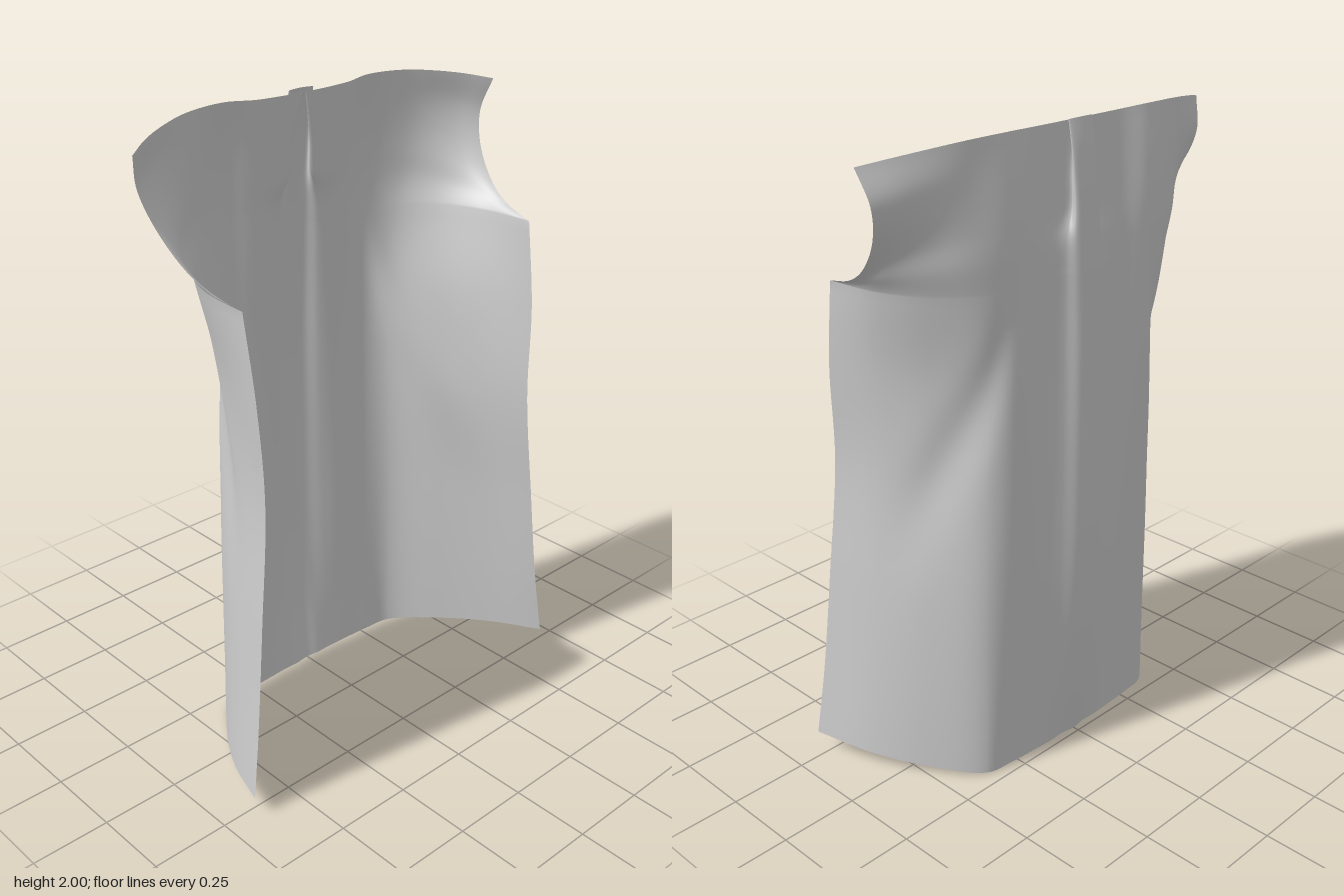
import * as THREE from 'three';

// From hem to neckline: centre height, edge height, edge x, edge z, centre z,
// pleat fold x, valley z, ridge z, back corner x, back corner z, side bulge
const ROWS = [
  [0.00, 0.065, 0.655, 0.28, -0.23, 0.1, -0.222, -0.215, 0.37, -0.2, 0.027],
  [0.25, 0.3, 0.622, 0.268, -0.258, 0.1, -0.232, -0.226, 0.37, -0.2, 0.026],
  [0.60, 0.62, 0.588, 0.256, -0.278, 0.1, -0.237, -0.236, 0.37, -0.2, 0.022],
  [1.00, 1.00, 0.552, 0.243, -0.281, 0.095, -0.238, -0.245, 0.36, -0.205, 0.018],
  [1.30, 1.30, 0.562, 0.232, -0.278, 0.09, -0.236, -0.25, 0.36, -0.21, 0.024],
  [1.57, 1.57, 0.57, 0.195, -0.268, 0.085, -0.232, -0.252, 0.4, -0.212, 0.042],
  [1.67, 1.60, 0.592, 0.08, -0.262, 0.075, -0.23, -0.252, 0.42, -0.213, 0.03],
  [1.76, 1.65, 0.61, 0, -0.255, 0.042, -0.224, -0.25, 0.42, -0.213, 0.021],
  [1.85, 1.75, 0.638, -0.08, -0.246, 0.034, -0.218, -0.244, 0.42, -0.213, 0.013],
  [1.93, 1.85, 0.665, -0.11, -0.236, 0.02, -0.212, -0.235, 0.42, -0.212, 0.011],
  [2.00, 1.95, 0.69, -0.083, -0.222, 0.003, -0.205, -0.224, 0.42, -0.21, 0.012],
];
const UNDERARM = 5; // row where the side edge turns sharply into the armhole
const ACROSS = 112, UP = 88;
const { lerp, clamp } = THREE.MathUtils;

// Control points of half a cross-section, from the centre out to the side edge
function halfSection([yc, ye, xe, ze, zc, foldX, valleyZ, ridgeZ, cornerX, cornerZ, bulge]) {
  const side = t => [lerp(cornerX, xe, t) + bulge, lerp(cornerZ, ze, t) - 0.8 * bulge];
  const outline = [
    [0, zc], [0.048, zc + 0.006], [foldX, lerp(zc, valleyZ, 1.2 - 6 * foldX)], // pleat
    [0.17, valleyZ], [0.28, ridgeZ], [cornerX, cornerZ],                       // back
    side(1 / 3), side(2 / 3), [xe, ze],                                        // side
  ];
  // Height follows depth, so the hem and neckline tilt towards the side edges
  return outline.map(([x, z]) =>
    new THREE.Vector3(x, yc + (ye - yc) * Math.max(0, (z - zc) / (ze - zc)), z));
}

function clothGeometry() {
  const rows = ROWS.map(halfSection);
  // Lengthwise curves, one per control point, for the body and the armhole part
  const lengthwise = part => part[0].map((_, j) => new THREE.CatmullRomCurve3(part.map(r => r[j])));
  const body = lengthwise(rows.slice(0, UNDERARM + 1));
  const shoulder = lengthwise(rows.slice(UNDERARM));
  const positions = [], indices = [];
  for (let i = 0; i <= UP; i++) {
    const t = 2 * i / UP;
    const half = t < 1 ? body.map(c => c.getPoint(t)) : shoulder.map(c => c.getPoint(t - 1));
    const mirrored = half.slice(1).reverse().map(p => new THREE.Vector3(-p.x, p.y, p.z));
    const section = new THREE.CatmullRomCurve3([...mirrored, ...half]);
    for (let j = 0; j <= ACROSS; j++) {
      const p = section.getPoint(j / ACROSS);
      // Soft diagonal drape fold falling from each armhole
      const d = Math.abs(p.x) - (0.41 + (1.1 - p.y) * 0.235);
      const fold = Math.exp(-((d / 0.04) ** 2)) * Math.exp(-(((p.y - 1.1) / 0.32) ** 2));
      p.z += 0.016 * fold;
      p.x -= Math.sign(p.x) * 0.012 * fold;
      positions.push(p.x, clamp(p.y, 0, 2), p.z);
    }
  }
  const w = ACROSS + 1;
  for (let i = 0; i < UP; i++) {
    for (let j = 0; j < ACROSS; j++) {
      const a = i * w + j, b = a + 1, c = a + w, d = c + 1;
      indices.push(a, c, b, b, c, d); // outside of the cloth faces the back
    }
  }
  const g = new THREE.BufferGeometry();
  g.setAttribute('position', new THREE.Float32BufferAttribute(positions, 3));
  g.setIndex(indices);
  g.computeVertexNormals();
  return g;
}

export function createModel() {
  const group = new THREE.Group();
  group.name = 'garmentBack';
  const cloth = new THREE.MeshStandardMaterial({ color: 0xcccccc, side: THREE.DoubleSide });
  // Draped back panel with its centre pleat and armhole cut-outs
  const panel = new THREE.Mesh(clothGeometry(), cloth);
  panel.name = 'backPanel';
  group.add(panel);
  return group;
}
